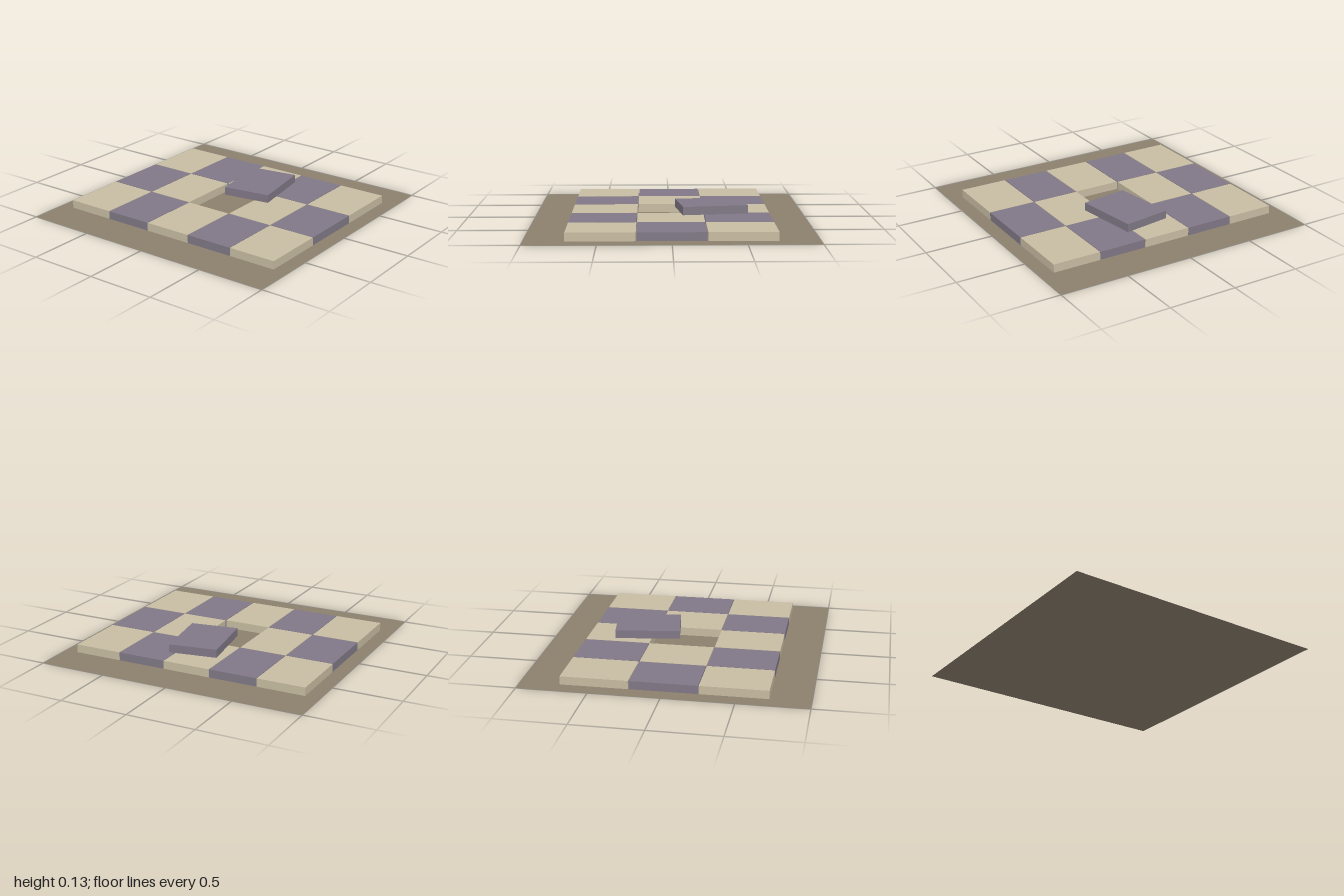
import * as THREE from 'three';

export function createModel() {
  const group = new THREE.Group();
  const mat = (name, color, side = THREE.FrontSide) => {
    const m = new THREE.MeshStandardMaterial({ color, side });
    m.name = name;
    return m;
  };
  const earth = mat('earth brown', 0x8c806d, THREE.DoubleSide);
  const cream = mat('cream stone', 0xc7bca2);
  const slate = mat('purple slate', 0x807886);

  // Flat bed under the paving
  const bed = new THREE.Mesh(new THREE.PlaneGeometry(2, 2), earth);
  bed.name = 'bed';
  bed.rotation.x = -Math.PI / 2;
  group.add(bed);

  // Paving slabs share one box, with a hairline joint between them
  const cellX = 0.48, cellZ = 0.36, height = 0.06, joint = 0.004;
  const slab = new THREE.BoxGeometry(cellX - joint, height, cellZ - joint);
  const addSlab = (name, material, x, y, z) => {
    const mesh = new THREE.Mesh(slab, material);
    mesh.name = name;
    mesh.position.set(x, y, z);
    group.add(mesh);
    return mesh;
  };

  // Checkered 3 x 5 grid with the middle slab missing
  for (let row = -2; row <= 2; row++) {
    for (let col = -1; col <= 1; col++) {
      if (row === 0 && col === 0) continue;
      const isCream = (row + col) % 2 !== 0;
      addSlab(isCream ? 'creamSlab' : 'slateSlab', isCream ? cream : slate,
        col * cellX, 0.034, row * cellZ);
    }
  }

  // Lifted slab lying askew beside its gap
  addSlab('looseSlab', slate, 0.298, 0.096, 0.083).rotation.y = 0.15;

  return group;
}
